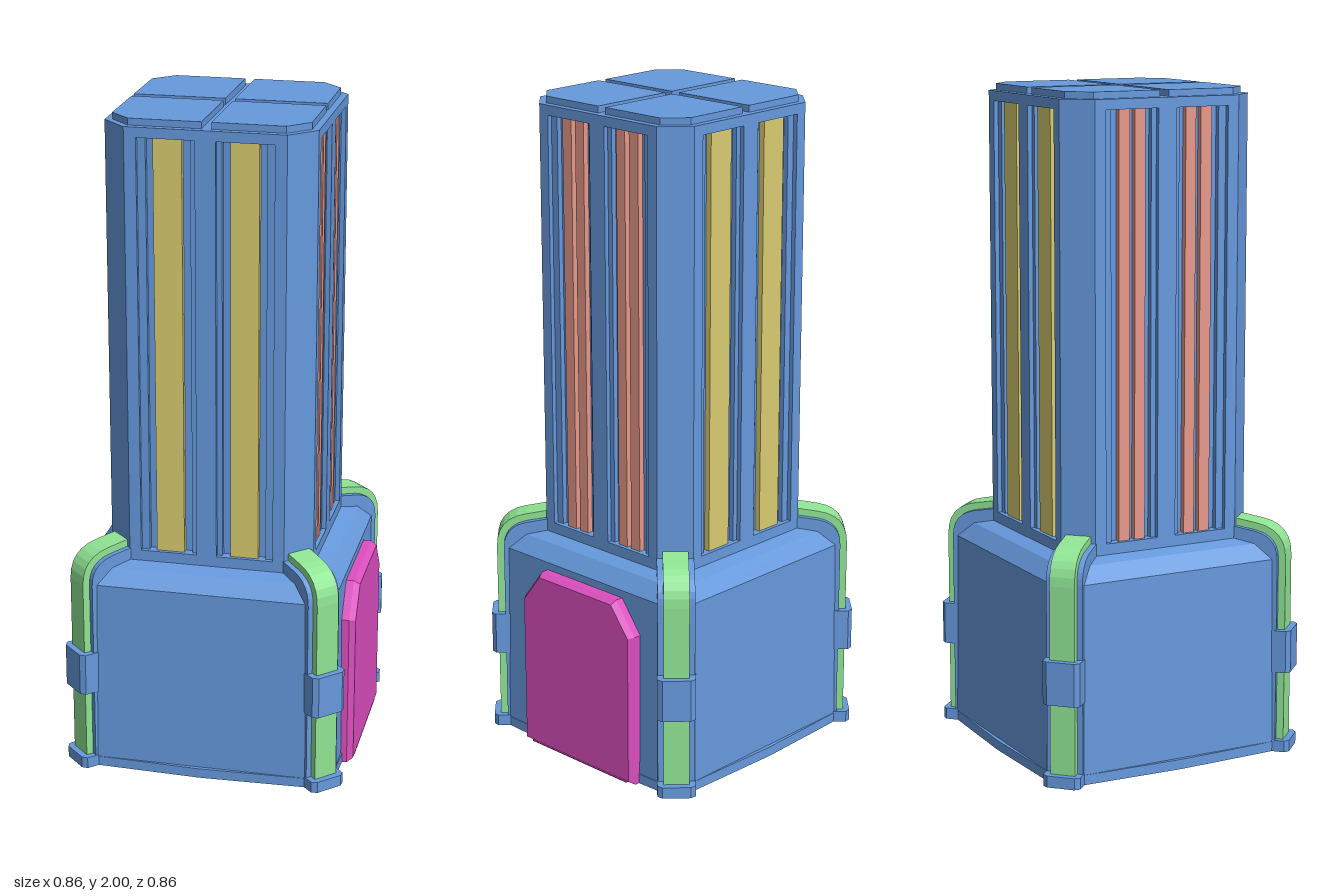
import * as THREE from 'three';

const mat = (color) => new THREE.MeshStandardMaterial({ color, flatShading: true, side: THREE.DoubleSide });

const polygon = (pts) => new THREE.Shape(pts.map(([x, y]) => new THREE.Vector2(x, y)));

const extrude = (shape, depth, extra = {}) =>
  new THREE.ExtrudeGeometry(shape, { depth, bevelEnabled: false, curveSegments: 6, ...extra });

// Extrudes a plan outline upwards from y0 to y1
const plan = (pts, y0, y1) => extrude(polygon(pts), y1 - y0).rotateX(-Math.PI / 2).translate(0, y0, 0);

const rect = (x0, y0, x1, y1) => [[x0, y0], [x1, y0], [x1, y1], [x0, y1]];

// Hollow wall panel: outer and inner profile in (z, y), mitred towards the corners
function wallGeometry() {
  const outer = [[0.4, 0], [0.394, 0.6], [0.355, 0.645], [0.3, 0.66]];
  const inner = [[0.378, 0], [0.374, 0.59], [0.345, 0.625], [0.3, 0.64]];
  const pos = [];
  const quad = (a, b, c, d) => pos.push(...a, ...b, ...c, ...a, ...c, ...d);
  const at = (p, i, s) => [s * (outer[i][0] - 0.075), p[i][1], p[i][0]];
  const last = outer.length - 1;
  for (let i = 0; i < last; i++) {
    const j = i + 1;
    quad(at(outer, i, -1), at(outer, i, 1), at(outer, j, 1), at(outer, j, -1));
    quad(at(inner, i, 1), at(inner, i, -1), at(inner, j, -1), at(inner, j, 1));
    quad(at(outer, i, 1), at(inner, i, 1), at(inner, j, 1), at(outer, j, 1));
    quad(at(inner, i, -1), at(outer, i, -1), at(outer, j, -1), at(inner, j, -1));
  }
  quad(at(inner, 0, -1), at(inner, 0, 1), at(outer, 0, 1), at(outer, 0, -1));
  quad(at(outer, last, -1), at(outer, last, 1), at(inner, last, 1), at(inner, last, -1));
  const g = new THREE.BufferGeometry();
  g.setAttribute('position', new THREE.Float32BufferAttribute(pos, 3));
  g.computeVertexNormals();
  return g;
}

// Bent corner strip lying between two inward offsets of one path, extruded across its width
function stripGeometry(o, i, y0, w0, w1) {
  const s = new THREE.Shape();
  s.moveTo(0.54 - o, y0);
  s.lineTo(0.54 - o, 0.6);
  s.quadraticCurveTo(0.54 - o, 0.69 - o, 0.45, 0.705 - o);
  s.lineTo(0.36, 0.72 - o);
  s.lineTo(0.36, 0.72 - i);
  s.lineTo(0.45 - i / 3, 0.705 - i);
  s.quadraticCurveTo(0.54 - i, 0.69 - i, 0.54 - i, 0.6 - i / 3);
  s.lineTo(0.54 - i, y0);
  return extrude(s, w1 - w0).translate(0, 0, w0);
}

// Plan outline of a corner pad with clipped outer corners
const padOutline = (d0, w) => [[d0, -w], [0.548, -w], [0.56, 0.015 - w], [0.56, w - 0.015], [0.548, w], [d0, w]];

const doorOutline = (inset, chamfer) => {
  const z = 0.233 - inset, top = 0.577 - inset;
  return [[-z, 0], [z, 0], [z, top - chamfer * 1.3], [z - chamfer, top], [chamfer - z, top], [-z, top - chamfer * 1.3]];
};

export function createModel() {
  const model = new THREE.Group();
  const body = new THREE.Group();
  body.name = 'body';
  body.position.x = -0.006;
  model.add(body);

  const blue = mat(0x6699dd), green = mat(0x90e494), yellow = mat(0xd8cb70);
  const salmon = mat(0xe8988a), magenta = mat(0xdd4fc0);
  const add = (parent, name, geometry, material) => {
    const m = new THREE.Mesh(geometry, material);
    m.name = name;
    parent.add(m);
    return m;
  };

  // Tower core with solid chamfered corner columns
  const core = [];
  for (let k = 0; k < 4; k++) {
    const c = Math.round(Math.cos(k * Math.PI / 2)), s = Math.round(Math.sin(k * Math.PI / 2));
    for (const [x, y] of [[0.28, 0.235], [0.31, 0.235], [0.235, 0.31], [0.235, 0.28]])
      core.push([x * c - y * s, x * s + y * c]);
  }
  add(body, 'towerCore', plan(core, 0.63, 1.98), blue);

  // Four roof tiles separated by a cross-shaped groove
  for (const sx of [-1, 1]) for (const sz of [-1, 1]) {
    const tile = [[0.014, 0.014], [0.289, 0.014], [0.289, 0.228], [0.228, 0.289], [0.014, 0.289]]
      .map(([x, z]) => [x * sx, z * sz]);
    add(body, 'roofTile', plan(tile, 1.975, 2), blue);
  }

  // Four sides: slotted tower face, light strips, base wall and bottom rim
  const face = polygon(rect(-0.235, 0.64, 0.235, 1.98));
  for (const s of [-1, 1]) face.holes.push(polygon(rect(s * 0.03, 0.69, s * 0.2, 1.95)));
  const faceGeo = extrude(face, 0.03);
  const wallGeo = wallGeometry();
  const rimGeo = plan([[-0.335, -0.4], [0, -0.412], [0.335, -0.4], [0.335, -0.372], [-0.335, -0.372]], 0, 0.03);
  const bar = (x0, x1, depth) =>
    new THREE.BoxGeometry(x1 - x0, 1.26, depth).translate((x0 + x1) / 2, 1.32, 0.28 + depth / 2);
  for (let k = 0; k < 4; k++) {
    const side = new THREE.Group();
    side.name = 'side';
    side.rotation.y = k * Math.PI / 2;
    body.add(side);
    add(side, 'towerFace', faceGeo, blue).position.z = 0.28;
    for (const s of [-1, 1]) {
      const strip = (name, a, b, depth, material) =>
        add(side, name, bar(Math.min(s * a, s * b), Math.max(s * a, s * b), depth), material);
      strip('slotLedge', 0.03, 0.046, 0.016, blue);
      strip('slotLedge', 0.176, 0.2, 0.016, blue);
      if (k % 2 === 0) {
        strip('wideStrip', 0.07, 0.154, 0.018, yellow);
      } else {
        strip('narrowStrip', 0.066, 0.1, 0.018, salmon);
        strip('narrowStrip', 0.116, 0.152, 0.018, salmon);
      }
    }
    add(side, 'baseWall', wallGeo, blue);
    add(side, 'bottomRim', rimGeo, blue);
  }

  // Four corners: bent strip between two rails, clamp band and foot
  const stripGeo = stripGeometry(0, 0.032, 0.03, -0.038, 0.038);
  const railGeos = [stripGeometry(0.022, 0.07, 0, -0.055, -0.038), stripGeometry(0.022, 0.07, 0, 0.038, 0.055)];
  const bandGeo = plan(padOutline(0.47, 0.057), 0.25, 0.38);
  const footGeo = plan(padOutline(0.45, 0.057), 0, 0.035);
  for (let k = 0; k < 4; k++) {
    const corner = new THREE.Group();
    corner.name = 'corner';
    corner.rotation.y = Math.PI / 4 + k * Math.PI / 2;
    body.add(corner);
    add(corner, 'cornerStrip', stripGeo, green);
    for (const g of railGeos) add(corner, 'cornerRail', g, blue);
    add(corner, 'clampBand', bandGeo, blue);
    add(corner, 'foot', footGeo, blue);
  }

  // Door with a bevelled frame on the +x wall
  const door = new THREE.Group();
  door.name = 'door';
  door.rotation.y = Math.PI / 2;
  door.position.set(0.386, 0, -0.014);
  model.add(door);
  const frame = polygon(doorOutline(0, 0.075));
  frame.holes.push(polygon(doorOutline(0.056, 0.04).map(([x, y]) => [x, Math.max(y, 0.02)])));
  add(door, 'doorFrame', extrude(frame, 0.026, {
    bevelEnabled: true, bevelThickness: 0.018, bevelSize: 0.012, bevelOffset: -0.012, bevelSegments: 1,
  }), magenta);
  add(door, 'doorPanel', extrude(polygon(doorOutline(0.03, 0.05)), 0.036), magenta);
  return model;
}
